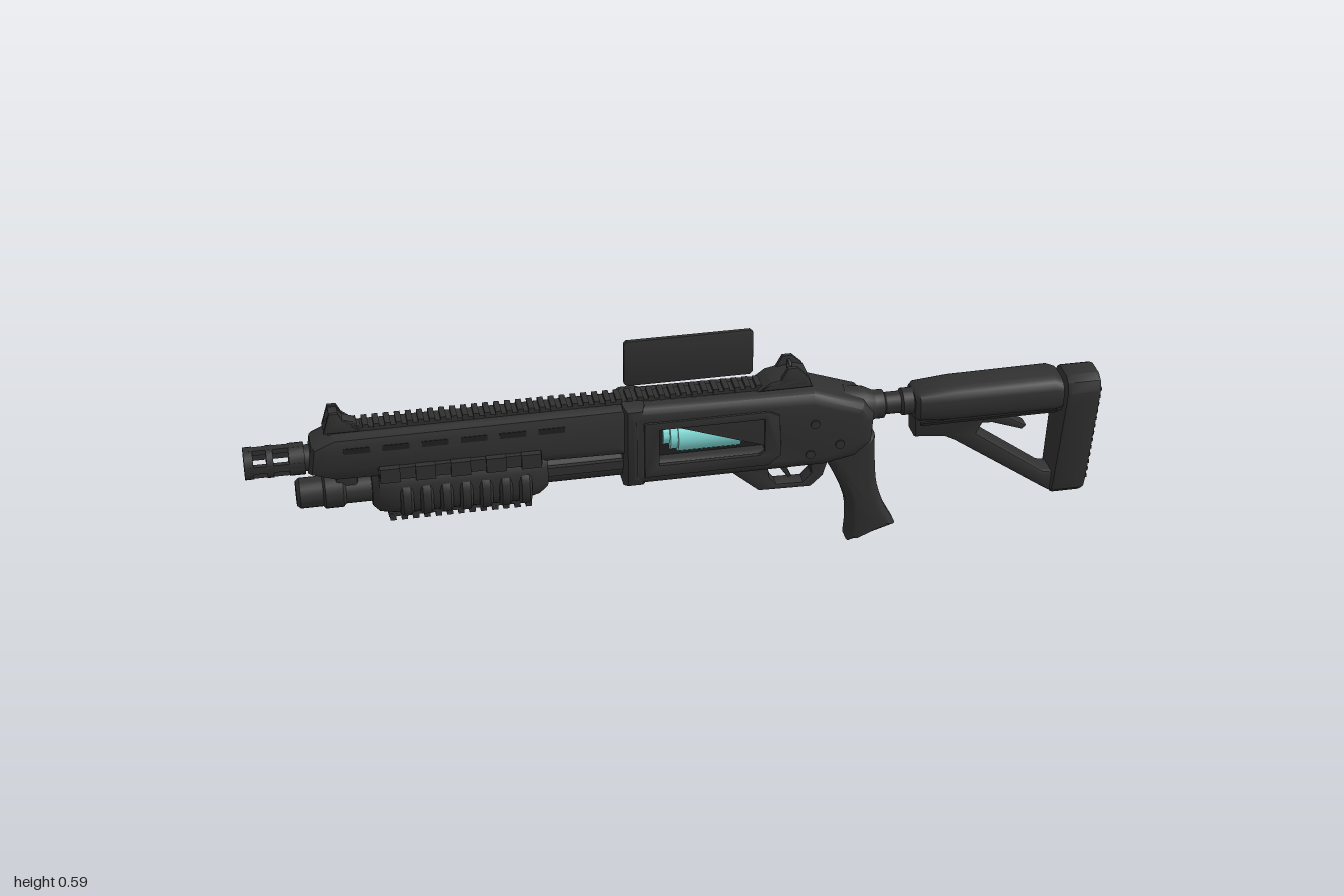
import * as THREE from 'three';
import { mergeGeometries, toCreasedNormals } from 'three/addons/utils/BufferGeometryUtils.js';

const gunmetal = new THREE.MeshStandardMaterial({ color: 0x303030 });
gunmetal.name = 'gunmetal';
const recess = new THREE.MeshStandardMaterial({ color: 0x202020 });
recess.name = 'dark recess';
const cyan = new THREE.MeshStandardMaterial({ color: 0x84e0dc });
cyan.name = 'cyan cell';

const V = ([x, y]) => new THREE.Vector2(x, y);

// Box by centre and size
function box(x, y, z, w, h, d) {
  return new THREE.BoxGeometry(w, h, d).translate(x, y, z);
}

// Bevelled side profile, centred on z; the outline keeps its drawn size
function slab(pts, width, bevel, holes = [], steps = 2) {
  const shape = new THREE.Shape(pts.map(V));
  holes.forEach(h => shape.holes.push(new THREE.Path(h.map(V))));
  const depth = width - 2 * bevel;
  const g = new THREE.ExtrudeGeometry(shape, {
    depth, bevelEnabled: bevel > 0, bevelSize: bevel, bevelThickness: bevel,
    bevelOffset: -bevel, bevelSegments: steps,
  });
  return toCreasedNormals(g.translate(0, 0, -depth / 2), 0.55);
}

// Turned profile [x, radius] about an axis along x
function turned(pts, y, z = 0, sides = 24) {
  const g = new THREE.LatheGeometry(pts.map(([x, r]) => new THREE.Vector2(r, x)), sides);
  return toCreasedNormals(g.rotateZ(-Math.PI / 2).translate(0, y, z), 0.6);
}

// Skin over rounded cross-sections [x, y, halfHeight, halfWidth]
function loft(sections, power = 0.7, n = 24) {
  const first = sections[0], last = sections[sections.length - 1];
  const rings = [[first[0], first[1], 0, 0], ...sections, [last[0], last[1], 0, 0]];
  const pos = [], index = [];
  const soft = v => Math.sign(v) * Math.abs(v) ** power;
  rings.forEach(([x, y, ry, rz], i) => {
    for (let j = 0; j < n; j++) {
      const a = (j / n) * Math.PI * 2;
      pos.push(x, y + ry * soft(Math.sin(a)), rz * soft(Math.cos(a)));
      if (i === rings.length - 1) continue;
      const p = i * n + j, q = i * n + (j + 1) % n;
      index.push(p, p + n, q, q, p + n, q + n);
    }
  });
  const g = new THREE.BufferGeometry();
  g.setAttribute('position', new THREE.Float32BufferAttribute(pos, 3));
  g.setIndex(index);
  return toCreasedNormals(g, 0.6);
}

export function createModel() {
  const model = new THREE.Group();
  const add = (name, geometry, material = gunmetal) => {
    const list = [].concat(geometry).map(g => (g.index ? g.toNonIndexed() : g));
    const mesh = new THREE.Mesh(list.length > 1 ? mergeGeometries(list) : list[0], material);
    mesh.name = name;
    model.add(mesh);
  };
  const sides = [-1, 1];

  // Muzzle brake: hollow rings joined by four bars
  const ring = (a, b, r = 0.037, inner = 0.024) =>
    turned([[a, inner], [a, r], [b, r], [b, inner], [a, inner]], 0.38);
  const bars = [0, 1, 2, 3].map(i => {
    const a = i * Math.PI / 2;
    return box(-0.93, 0, 0.03, 0.13, 0.018, 0.012).rotateX(a).translate(0, 0.38, 0);
  });
  add('muzzleBrake', [ring(-1, -0.98), ring(-0.95, -0.935), ring(-0.9, -0.865), ...bars]);
  add('barrel', turned([[-0.885, 0], [-0.885, 0.03], [-0.14, 0.03]], 0.38));

  // Barrel shroud with vent slots
  add('barrelShroud', slab([[-0.86, 0.355], [-0.8, 0.335], [-0.13, 0.325], [-0.13, 0.45],
    [-0.8, 0.447], [-0.85, 0.425]], 0.104, 0.024));
  const vents = [];
  for (const s of sides) for (let i = 0; i < 6; i++)
    vents.push(box(-0.75 + i * 0.088, 0.416, s * 0.0505, 0.06, 0.014, 0.006));
  add('shroudVents', vents, recess);

  // Toothed top rail
  const teeth = [box(-0.26, 0.45, 0, 1.1, 0.012, 0.042)];
  for (let x = -0.8; x < 0.29; x += 0.025) teeth.push(box(x, 0.457, 0, 0.013, 0.014, 0.046));
  add('topRail', teeth);

  // Magazine tube and end cap
  add('magazineTube', turned([[-0.8, 0.034], [-0.13, 0.034]], 0.288));
  add('magazineCap', turned([[-0.89, 0], [-0.89, 0.028], [-0.882, 0.035], [-0.83, 0.035], [-0.825, 0.041],
    [-0.785, 0.041], [-0.775, 0.03]], 0.288));
  add('barrelClamp', slab([[-0.8, 0.28], [-0.75, 0.28], [-0.75, 0.37], [-0.8, 0.37]], 0.05, 0.006));
  add('actionBars', sides.map(s => box(-0.25, 0.3, s * 0.036, 0.3, 0.022, 0.012)));

  // Pump handle with ribs, side rails and lower rail
  add('pumpHandle', loft([[-0.72, 0.295, 0.045, 0.05], [-0.705, 0.295, 0.06, 0.062], [-0.66, 0.293, 0.066, 0.066],
    [-0.39, 0.293, 0.068, 0.068], [-0.34, 0.3, 0.062, 0.062], [-0.32, 0.302, 0.05, 0.05]], 0.75));
  const ribs = [], lugs = [box(-0.52, 0.222, 0, 0.33, 0.02, 0.04)];
  for (let i = 0; i < 7; i++) {
    const x = -0.66 + i * 0.045;
    ribs.push(loft([[x, 0.278, 0.05, 0.07], [x + 0.006, 0.278, 0.056, 0.077],
      [x + 0.024, 0.278, 0.056, 0.077], [x + 0.03, 0.278, 0.05, 0.07]], 0.8));
  }
  for (let i = 0; i < 13; i++) lugs.push(box(-0.675 + i * 0.026, 0.211, 0, 0.014, 0.018, 0.042));
  add('pumpRibs', ribs);
  add('pumpLowerRail', lugs);
  const sideRail = [];
  for (const s of sides) {
    sideRail.push(box(-0.52, 0.352, s * 0.057, 0.37, 0.03, 0.014));
    for (let i = 0; i < 5; i++) sideRail.push(box(-0.68 + i * 0.08, 0.352, s * 0.063, 0.045, 0.036, 0.016));
  }
  add('pumpSideRails', sideRail);

  // Receiver with an open window on both sides
  const windowHole = [[-0.07, 0.305], [0.185, 0.305], [0.185, 0.398], [-0.07, 0.398]];
  add('receiver', slab([[-0.14, 0.25], [0.33, 0.25], [0.4, 0.265], [0.44, 0.3], [0.445, 0.37], [0.42, 0.405],
    [0.3, 0.447], [-0.14, 0.452]], 0.13, 0.026, [windowHole], 3));
  add('receiverCore', box(0.06, 0.352, 0, 0.29, 0.13, 0.05), recess);
  add('receiverCollar', slab([[-0.145, 0.245], [-0.095, 0.245], [-0.095, 0.455], [-0.145, 0.455]], 0.138, 0.028));
  const frame = [[-0.1, 0.275], [0.19, 0.275], [0.22, 0.3], [0.215, 0.405], [0.19, 0.418], [-0.1, 0.418]];
  add('windowFrames', sides.map(s => slab(frame, 0.012, 0.003,
    [[[-0.065, 0.305], [0.17, 0.305], [0.18, 0.315], [0.18, 0.398], [-0.065, 0.398]]]).translate(0, 0, s * 0.064)));
  add('receiverPins', sides.flatMap(s => [[0.29, 0.29], [0.36, 0.31], [0.3, 0.37]].map(([x, y]) =>
    new THREE.CylinderGeometry(0.011, 0.011, 0.008, 14).rotateX(Math.PI / 2).translate(x, y, s * 0.065))));

  // Glowing cell with stepped ends
  add('energyCell', turned([[-0.05, 0], [-0.05, 0.03], [-0.035, 0.03], [-0.035, 0.042], [-0.018, 0.042],
    [-0.018, 0.048], [0.128, 0.048], [0.128, 0.042], [0.145, 0.042], [0.145, 0.03], [0.158, 0.03], [0.158, 0]],
    0.355, 0, 32).scale(1, 1, 1.15), cyan);

  // Folding sights
  add('frontSight', [slab([[-0.82, 0.455], [-0.735, 0.455], [-0.75, 0.47], [-0.775, 0.478], [-0.785, 0.498],
    [-0.805, 0.498], [-0.805, 0.475]], 0.03, 0.003),
  ...sides.map(s => slab([[-0.82, 0.45], [-0.74, 0.45], [-0.775, 0.48], [-0.785, 0.5], [-0.805, 0.5]],
    0.01, 0.002).translate(0, 0, s * 0.021))]);
  add('rearSight', [slab([[0.17, 0.452], [0.3, 0.452], [0.29, 0.48], [0.265, 0.488], [0.2, 0.475]], 0.072, 0.006),
    ...sides.map(s => slab([[0.21, 0.46], [0.29, 0.46], [0.285, 0.485], [0.262, 0.507], [0.24, 0.507],
      [0.225, 0.48]], 0.012, 0.003).translate(0, 0, s * 0.03)),
    new THREE.TorusGeometry(0.012, 0.004, 8, 20).rotateY(Math.PI / 2).translate(0.25, 0.496, 0)]);

  // Floating display plate
  add('displayPlate', slab([[-0.135, 0.492], [-0.128, 0.485], [0.158, 0.485], [0.165, 0.492], [0.165, 0.593],
    [0.158, 0.6], [-0.128, 0.6], [-0.135, 0.593]], 0.011, 0.002));

  // Trigger and guard
  add('triggerGuard', slab([[0.08, 0.255], [0.11, 0.235], [0.18, 0.175], [0.305, 0.172], [0.335, 0.2], [0.35, 0.255]],
    0.04, 0.006, [[[0.205, 0.21], [0.22, 0.19], [0.285, 0.188], [0.305, 0.21], [0.3, 0.243], [0.2, 0.243]]]));
  add('trigger', slab([[0.23, 0.25], [0.255, 0.25], [0.25, 0.22], [0.26, 0.198], [0.25, 0.198], [0.235, 0.22]], 0.014, 0.002));

  // Pistol grip
  const gripLine = new THREE.SplineCurve([[0.335, 0.25], [0.365, 0.19], [0.392, 0.12], [0.398, 0.06], [0.395, 0.012]].map(V));
  const backLine = new THREE.SplineCurve([[0.512, 0.048], [0.485, 0.1], [0.465, 0.16], [0.458, 0.22], [0.455, 0.3]].map(V));
  const gripPts = [...gripLine.getPoints(10), ...backLine.getPoints(10)].map(p => [p.x, p.y]);
  add('pistolGrip', slab([...gripPts, [0.36, 0.3]], 0.076, 0.022, [], 5));

  // Stock neck
  add('stockNeck', turned([[0.38, 0.055], [0.43, 0.046], [0.45, 0.036], [0.455, 0.034], [0.475, 0.034], [0.48, 0.026],
    [0.515, 0.026], [0.52, 0.032], [0.56, 0.032]], 0.368));

  // Stock: cheek rest, open triangular frame, lever and butt
  add('cheekRest', loft([[0.545, 0.367, 0.033, 0.04], [0.555, 0.367, 0.039, 0.05], [0.64, 0.368, 0.044, 0.056],
    [0.88, 0.368, 0.046, 0.058], [0.9, 0.366, 0.04, 0.054]], 0.65));
  add('stockFrame', slab([[0.545, 0.38], [0.548, 0.285], [0.62, 0.278], [0.65, 0.262], [0.86, 0.115], [0.885, 0.098],
    [0.965, 0.098], [0.975, 0.38]], 0.066, 0.009,
  [[[0.7, 0.278], [0.87, 0.155], [0.905, 0.148], [0.918, 0.16], [0.918, 0.316], [0.72, 0.316]]]));
  add('stockLever', slab([[0.66, 0.318], [0.76, 0.318], [0.825, 0.278], [0.815, 0.268], [0.74, 0.295], [0.67, 0.3]], 0.04, 0.006));
  add('cheekSeams', sides.map(s => box(0.72, 0.333, s * 0.0525, 0.33, 0.006, 0.008)), recess);

  // Butt pad leans forward towards its toe
  const lean = g => {
    const p = g.attributes.position;
    for (let i = 0; i < p.count; i++) p.setX(i, p.getX(i) - (0.41 - p.getY(i)) * 0.07);
    g.computeVertexNormals();
    return toCreasedNormals(g, 0.55);
  };
  const outline = [[-0.03, 0.092], [0.03, 0.092], [0.043, 0.105], [0.047, 0.13], [0.056, 0.34], [0.056, 0.375],
    [0.045, 0.398], [0.025, 0.409], [-0.025, 0.409], [-0.045, 0.398], [-0.056, 0.375], [-0.056, 0.34],
    [-0.047, 0.13], [-0.043, 0.105]];
  add('buttPad', lean(slab(outline, 0.085, 0.01).rotateY(Math.PI / 2).translate(0.952, 0, 0)));
  const grooves = [];
  for (let i = 0; i < 13; i++) {
    const y = 0.13 + i * 0.02;
    grooves.push(box(0.9945, y, 0, 0.008, 0.008, 0.07 + 0.012 * (i / 12)));
  }
  add('buttRidges', lean(mergeGeometries(grooves).toNonIndexed()));

  return model;
}
